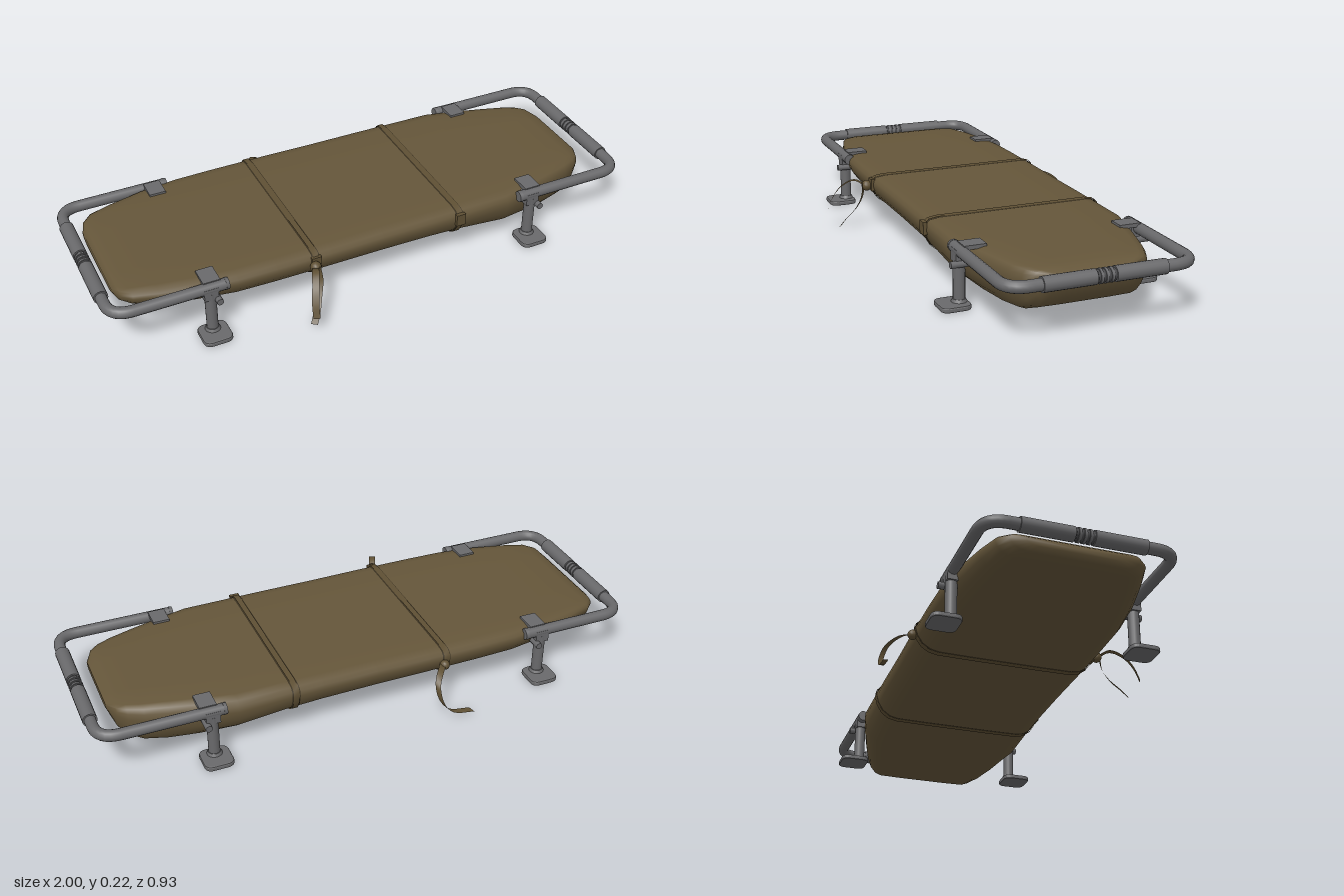
import * as THREE from 'three';
import { toCreasedNormals } from 'three/addons/utils/BufferGeometryUtils.js';

const V = (x, y, z) => new THREE.Vector3(x, y, z);
const ZC = -0.02; // centre line of the bed

// Bed stations: x, half width, bottom y, top y
const STATIONS = [
  [-0.93, 0.17, 0.155, 0.182], [-0.915, 0.215, 0.14, 0.195], [-0.88, 0.25, 0.132, 0.2],
  [-0.8, 0.275, 0.122, 0.203], [-0.68, 0.303, 0.108, 0.205], [-0.54, 0.322, 0.101, 0.205],
  [-0.4, 0.325, 0.099, 0.205], [-0.2, 0.325, 0.097, 0.205], [0, 0.322, 0.094, 0.205],
  [0.2, 0.322, 0.09, 0.205], [0.32, 0.321, 0.082, 0.205], [0.5, 0.32, 0.06, 0.205],
  [0.62, 0.29, 0.046, 0.205], [0.72, 0.262, 0.04, 0.204], [0.8, 0.238, 0.045, 0.202],
  [0.85, 0.215, 0.065, 0.2], [0.88, 0.19, 0.1, 0.196], [0.905, 0.135, 0.16, 0.183],
];
// Half section: fraction of half width, fraction of depth
const HALF = [[0.45, 1], [0.85, 1], [0.95, 0.96], [0.99, 0.86], [1, 0.7], [0.975, 0.45],
  [0.92, 0.22], [0.84, 0.07], [0.74, 0.01], [0.4, 0]];

// Closed section of the bed at x, grown outward by g
function section(x, g = 0) {
  let i = 0;
  while (i < STATIONS.length - 2 && STATIONS[i + 1][0] < x) i++;
  const a = STATIONS[i], b = STATIONS[i + 1];
  const t = (x - a[0]) / (b[0] - a[0]);
  const [w, lo, hi] = [1, 2, 3].map((k) => THREE.MathUtils.lerp(a[k], b[k], t));
  const at = (s, [u, v]) => V(x, lo - g + v * (hi - lo + 2 * g), ZC + s * u * (w + g));
  return [at(1, [0, 1]), ...HALF.map((p) => at(1, p)), at(1, [0, 0]),
    ...HALF.slice().reverse().map((p) => at(-1, p))];
}

function geometry(points, index) {
  const g = new THREE.BufferGeometry().setFromPoints(points);
  g.setIndex(index);
  g.computeVertexNormals();
  return g;
}

function bedGeometry() {
  const pts = [], idx = [];
  const rings = STATIONS.map((s) => section(s[0]));
  const n = rings[0].length, last = rings.length - 1;
  rings.forEach((r) => pts.push(...r));
  for (let i = 0; i < last; i++) {
    for (let j = 0; j < n; j++) {
      const k = (j + 1) % n, a = i * n + j, b = i * n + k;
      idx.push(a, b, a + n, b, b + n, a + n);
    }
  }
  // End caps
  [0, last].forEach((i) => {
    const s = STATIONS[i], c = pts.length;
    pts.push(V(s[0], (s[2] + s[3]) / 2, ZC));
    for (let j = 0; j < n; j++) {
      const a = i * n + j, b = i * n + (j + 1) % n;
      if (i) idx.push(c, a, b); else idx.push(c, b, a);
    }
  });
  return toCreasedNormals(geometry(pts, idx), 0.9);
}

// Flat band following points, spread along the side direction
function ribbon(points, side, width, closed = false) {
  const pts = [], idx = [];
  const path = closed ? [...points, points[0]] : points;
  path.forEach((p, i) => {
    pts.push(p.clone().addScaledVector(side, -width / 2), p.clone().addScaledVector(side, width / 2));
    if (i) idx.push(2 * i - 2, 2 * i - 1, 2 * i, 2 * i - 1, 2 * i + 1, 2 * i);
  });
  return geometry(pts, idx);
}

export function createModel() {
  const root = new THREE.Group();
  root.name = 'stretcher';
  const mat = (name, color, side = THREE.FrontSide) => {
    const m = new THREE.MeshStandardMaterial({ color, side });
    m.name = name;
    return m;
  };
  const canvas = mat('khaki canvas', 0x65563a);
  const webbing = mat('khaki webbing', 0x5f5034, THREE.DoubleSide);
  const seam = mat('dark seam', 0x3a3120, THREE.DoubleSide);
  const metal = mat('grey metal', 0x69696b);
  const joint = mat('dark joint', 0x48484a);
  const add = (name, geo, material, parent = root, x = 0, y = 0, z = 0) => {
    const m = new THREE.Mesh(geo, material);
    m.name = name;
    m.position.set(x, y, z);
    parent.add(m);
    return m;
  };

  add('canvasBed', bedGeometry(), canvas);

  // Straps wrapped round the bed
  const X = V(1, 0, 0);
  [-0.26, 0.3].forEach((x) => {
    add('strapSeam', ribbon(section(x, 0.002), X, 0.029, true), seam);
    add('strap', ribbon(section(x, 0.005), X, 0.021, true), webbing);
    add('strapBuckle', new THREE.BoxGeometry(0.035, 0.045, 0.014), webbing, root, x, 0.175, 0.305);
  });
  add('strapKnot', new THREE.SphereGeometry(0.02, 12, 8), webbing, root, -0.27, 0.17, 0.322);
  add('strapKnot', new THREE.SphereGeometry(0.018, 12, 8), webbing, root, -0.25, 0.158, -0.353);

  // Loose strap ends
  const tail = (side, ...p) => add('looseStrap',
    ribbon(new THREE.CatmullRomCurve3(p.map((q) => V(...q))).getPoints(20), V(...side).normalize(), 0.024), webbing);
  tail([1, 0, 0.4], [-0.27, 0.165, 0.32], [-0.29, 0.19, 0.365], [-0.31, 0.165, 0.41], [-0.325, 0.12, 0.44], [-0.33, 0.07, 0.46]);
  tail([0.8, 0, 0.6], [-0.27, 0.18, 0.335], [-0.265, 0.13, 0.343], [-0.28, 0.08, 0.365], [-0.3, 0.04, 0.395], [-0.32, 0.005, 0.415]);
  tail([0.5, 0.3, 0.9], [-0.25, 0.16, -0.345], [-0.22, 0.163, -0.385], [-0.19, 0.135, -0.425],
    [-0.195, 0.08, -0.447], [-0.23, 0.035, -0.455], [-0.31, 0.018, -0.458]);

  // End rails: U-shaped tubes with a two-piece sleeve
  const zf = 0.295, zb = -0.335, y = 0.19;
  [[-1, -0.975, -0.58], [1, 0.973, 0.55]].forEach(([s, xe, xi]) => {
    const rail = new THREE.Group();
    rail.name = s < 0 ? 'rightEndRail' : 'leftEndRail';
    root.add(rail);
    const r = 0.075, path = new THREE.CurvePath();
    const xc = xe - s * r;
    path.add(new THREE.LineCurve3(V(xi, y, zb), V(xc, y, zb)));
    path.add(new THREE.QuadraticBezierCurve3(V(xc, y, zb), V(xe, y, zb), V(xe, y, zb + r)));
    path.add(new THREE.LineCurve3(V(xe, y, zb + r), V(xe, y, zf - r)));
    path.add(new THREE.QuadraticBezierCurve3(V(xe, y, zf - r), V(xe, y, zf), V(xc, y, zf)));
    path.add(new THREE.LineCurve3(V(xc, y, zf), V(xi, y, zf)));
    add('railTube', new THREE.TubeGeometry(path, 90, 0.02, 14), metal, rail);
    [zb, zf].forEach((z) => {
      const cap = add('railCap', new THREE.CylinderGeometry(0.02, 0.021, 0.012, 14), metal, rail, xi, y, z);
      cap.rotation.z = s * Math.PI / 2;
    });
    const along = (name, rad, len, z, m) => {
      add(name, new THREE.CylinderGeometry(rad, rad, len, 18), m, rail, xe, y, z).rotation.x = Math.PI / 2;
    };
    [-1, 1].forEach((k) => along('railSleeve', 0.025, 0.175, ZC + k * 0.12, metal));
    along('sleeveJoint', 0.0215, 0.06, ZC, joint);
    [-0.018, 0, 0.018].forEach((d) => along('sleeveCollar', 0.0245, 0.009, ZC + d, metal));
  });

  // Foot pad outline with rounded corners
  const h = 0.046, c = 0.022, pad = new THREE.Shape();
  pad.moveTo(-h + c, -h);
  [[h, -h, h, -h + c], [h, h, h - c, h], [-h, h, -h, h - c], [-h, -h, -h + c, -h]].forEach(([px, py, qx, qy], i) => {
    const start = [[h - c, -h], [h, h - c], [-h + c, h], [-h, -h + c]][i];
    pad.lineTo(...start);
    pad.quadraticCurveTo(px, py, qx, qy);
  });
  const padGeo = new THREE.ExtrudeGeometry(pad, {
    depth: 0.008, bevelThickness: 0.005, bevelSize: 0.006, bevelSegments: 2, curveSegments: 6,
  }).rotateX(-Math.PI / 2);

  // Legs with clamps onto the rails and the bed
  [-0.64, 0.595].forEach((x) => [[1, zf], [-1, zb]].forEach(([s, z]) => {
    const leg = new THREE.Group();
    leg.name = (s > 0 ? 'front' : 'back') + (x < 0 ? 'Right' : 'Left') + 'Leg';
    leg.position.set(x, 0, z);
    root.add(leg);
    add('footPad', padGeo, metal, leg, 0, 0.005, s * 0.022);
    add('footCollar', new THREE.CylinderGeometry(0.022, 0.028, 0.012, 16), metal, leg, 0, 0.022, 0);
    add('legPost', new THREE.CylinderGeometry(0.02, 0.02, 0.15, 16), metal, leg, 0, 0.1, 0);
    add('railClamp', new THREE.BoxGeometry(0.05, 0.045, 0.046), metal, leg, 0, 0.175, -s * 0.004);
    add('clampBolt', new THREE.CylinderGeometry(0.012, 0.012, 0.06, 10), metal, leg, 0.022, 0.15, s * 0.008).rotation.x = Math.PI / 2;
    add('bedTab', new THREE.BoxGeometry(0.06, 0.014, 0.075), metal, leg, 0.01, 0.206, -s * 0.04);
    add('tabLip', new THREE.BoxGeometry(0.06, 0.03, 0.01), metal, leg, 0.01, 0.198, -s * 0.074);
  }));

  return root;
}
